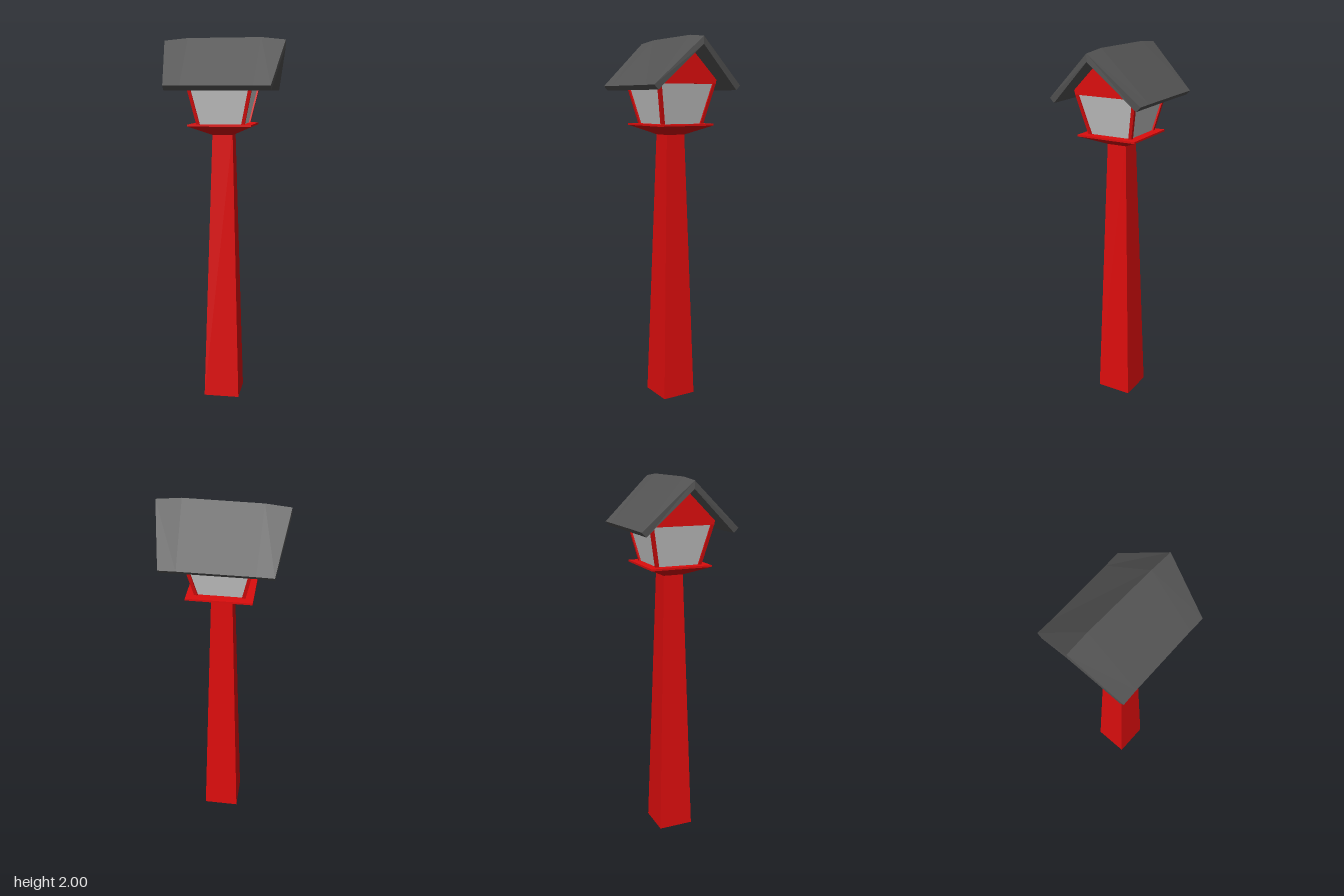
import * as THREE from 'three';

const mat = (color) => new THREE.MeshStandardMaterial({ color, flatShading: true });

export function createModel() {
  const model = new THREE.Group();
  const red = mat(0xdc0d0d), grey = mat(0xcccccc), dark = mat(0x555555);

  const add = (name, geometry, material) => {
    const mesh = new THREE.Mesh(geometry, material);
    mesh.name = name;
    model.add(mesh);
    return mesh;
  };

  // Square tapered block, given half widths at the bottom and top
  const frustum = (y0, half0, y1, half1) =>
    new THREE.CylinderGeometry(half1 * Math.SQRT2, half0 * Math.SQRT2, y1 - y0, 4)
      .rotateY(Math.PI / 4)
      .translate(0, (y0 + y1) / 2, 0);

  // Pole, flared tray and its thin rim
  add('pole', frustum(0, 0.098, 1.5, 0.055), red);
  add('tray', frustum(1.485, 0.055, 1.535, 0.168), red);
  add('trayRim', frustum(1.535, 0.17, 1.545, 0.17), red);

  // Flared panes, slightly inset behind the corner posts
  add('panes', frustum(1.545, 0.12, 1.757, 0.168), grey);

  // Four corner posts leaning outward
  for (const sx of [-1, 1]) {
    for (const sz of [-1, 1]) {
      const g = new THREE.BoxGeometry(0.018, 0.215, 0.018);
      const p = g.attributes.position;
      for (let i = 0; i < p.count; i++) {
        const c = p.getY(i) > 0 ? 0.168 : 0.12;
        p.setX(i, p.getX(i) + sx * c);
        p.setZ(i, p.getZ(i) + sz * c);
      }
      add('cornerPost', g.translate(0, 1.65, 0), red);
    }
  }

  // Gable block under the roof
  const gable = new THREE.Shape([
    [-0.176, 1.755], [0.176, 1.755], [0.182, 1.78], [0, 1.966], [-0.182, 1.78],
  ].map(([z, y]) => new THREE.Vector2(z, y)));
  add('gable', new THREE.ExtrudeGeometry(gable, { depth: 0.352, bevelEnabled: false })
    .translate(0, 0, -0.176).rotateY(Math.PI / 2), red);

  add('roof', roofGeometry(), dark);
  return model;
}

// Chevron cross-sections along x, sagging a little at the ends
function roofGeometry() {
  // Each station: ridge x, eave x, ridge drop, ridge z, eave z offset
  const stations = [
    [-0.33, -0.278, 0.012, -0.009, 0.003],
    [-0.2, -0.19, 0, -0.008, 0],
    [0.2, 0.19, 0, 0.003, 0],
    [0.33, 0.278, 0.014, 0.005, 0.002],
  ];
  const pos = [], index = [];
  for (const [rx, ex, drop, rz, out] of stations) {
    pos.push(
      ex, 1.746, 0.26 + out,
      rx, 2 - drop, rz,
      ex, 1.746, -0.26 - out,
      ex, 1.722, -0.236 - out,
      rx, 1.96 - drop, rz,
      ex, 1.722, 0.236 + out,
    );
  }
  const n = 6, last = (stations.length - 1) * n;
  for (let s = 0; s < last; s += n) {
    for (let i = 0; i < n; i++) {
      const a = s + i, b = s + (i + 1) % n;
      index.push(a, a + n, b, b, a + n, b + n);
    }
  }
  // End caps, one quad per slope
  for (const [a, b, c, d] of [[0, 1, 4, 5], [1, 2, 3, 4]]) {
    index.push(a, b, c, a, c, d);
    index.push(last + a, last + c, last + b, last + a, last + d, last + c);
  }
  const g = new THREE.BufferGeometry();
  g.setAttribute('position', new THREE.Float32BufferAttribute(pos, 3));
  g.setIndex(index);
  const flat = g.toNonIndexed();
  flat.computeVertexNormals();
  return flat;
}
